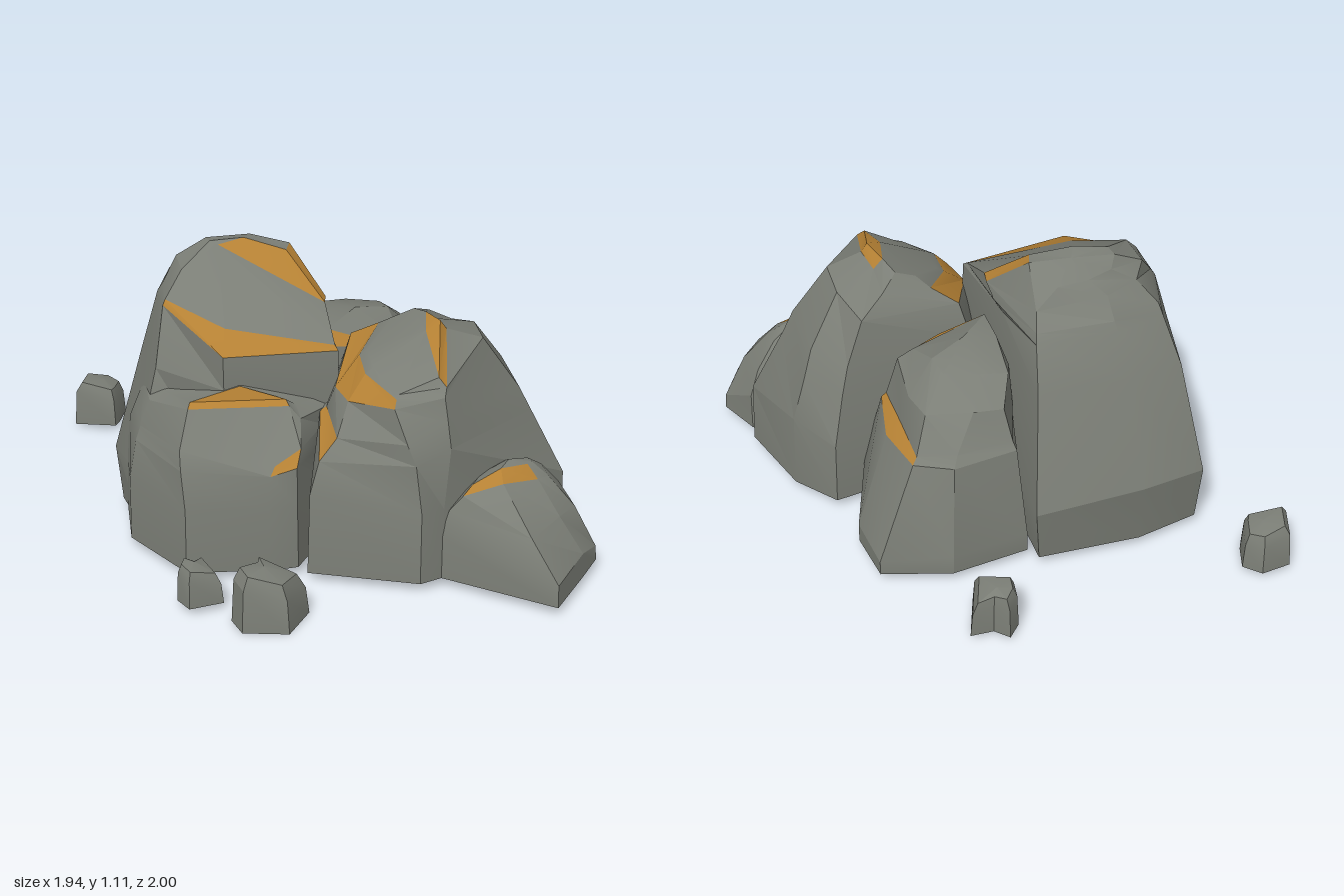
import * as THREE from 'three';
import { toCreasedNormals } from 'three/addons/utils/BufferGeometryUtils.js';

const stone = new THREE.MeshStandardMaterial({ color: 0x7b7e76 });
stone.name = 'grey stone';
const ochre = new THREE.MeshStandardMaterial({ color: 0xb58134 });
ochre.name = 'ochre edge';

const centre = (ring) => ring
  .reduce((s, p) => [s[0] + p[0], s[1] + p[1], s[2] + p[2]], [0, 0, 0])
  .map((v) => v / ring.length);

// Scales a ring about its centre and drops it to the given height.
function footprint(ring, scale, y) {
  const c = centre(ring);
  return ring.map((p) => [c[0] + (p[0] - c[0]) * scale, y, c[2] + (p[2] - c[2]) * scale]);
}

// Lofts rings (clockwise from above), closed by a flat base and a peak.
// edges lists [ring, segment] quads in ochre; ring = last one means a cap triangle.
function rock(name, rings, peak, edges = []) {
  const grey = [], gold = [];
  const last = rings.length - 1;
  const bottom = centre(rings[0]);
  const n = rings[0].length;
  const isEdge = (i, j) => edges.some((e) => e[0] === i && e[1] === j);
  for (let j = 0; j < n; j++) {
    const k = (j + 1) % n;
    grey.push(...bottom, ...rings[0][j], ...rings[0][k]);
    for (let i = 0; i < last; i++) {
      const a = rings[i][j], b = rings[i][k], c = rings[i + 1][k], d = rings[i + 1][j];
      (isEdge(i, j) ? gold : grey).push(...a, ...c, ...b, ...a, ...d, ...c);
    }
    (isEdge(last, j) ? gold : grey).push(...peak, ...rings[last][k], ...rings[last][j]);
  }
  let geo = new THREE.BufferGeometry();
  geo.setAttribute('position', new THREE.Float32BufferAttribute([...grey, ...gold], 3));
  geo.addGroup(0, grey.length / 3, 0);
  if (gold.length) geo.addGroup(grey.length / 3, gold.length / 3, 1);
  geo = toCreasedNormals(geo, 0.4);
  const mesh = new THREE.Mesh(geo, [stone, ochre]);
  mesh.name = name;
  return mesh;
}

// Tall boulder: back-left, back, back-right, right, front-right, front, front-left, left
const tall = [
  [[-.69, .28, -.58], [-.42, .3, -.65], [.01, .27, -.65], [.02, .3, -.2],
    [.02, .3, .3], [-.42, .3, .34], [-.76, .3, .2], [-.82, .28, -.05]],
  [[-.63, .7, -.44], [-.4, .72, -.5], [-.04, .72, -.49], [-.01, .7, -.15],
    [.02, .7, .32], [-.42, .7, .37], [-.66, .7, .14], [-.7, .68, -.1]],
  [[-.58, .88, -.35], [-.38, .88, -.41], [-.06, .88, -.4], [-.02, .84, -.1],
    [.02, .81, .31], [-.42, .83, .36], [-.62, .92, .05], [-.63, .91, -.12]],
  [[-.57, .92, -.32], [-.37, .92, -.39], [-.07, .91, -.37], [0, .87, -.05],
    [.01, .825, .29], [-.4, .89, .23], [-.61, .94, .04], [-.61, .94, -.12]],
  [[-.5, 1, -.26], [-.36, 1, -.33], [-.09, .96, -.3], [.01, .91, .02],
    [0, .91, .08], [-.39, 1.085, -.13], [-.54, 1.03, -.03], [-.55, 1.03, -.18]],
  [[-.4, 1.06, -.25], [-.3, 1.05, -.28], [-.18, 1.04, -.28], [-.11, 1.075, -.14],
    [-.13, 1.07, -.08], [-.29, 1.11, -.13], [-.42, 1.095, -.15], [-.43, 1.09, -.2]],
];

// Low front-left boulder: left, back, back-right, right, front-right, front, front-left, left-front
const low = [
  [[-.78, .3, .03], [-.4, .3, .1], [-.02, .3, .15], [-.04, .3, .36],
    [-.17, .3, .575], [-.28, .3, .59], [-.59, .3, .56], [-.78, .3, .27]],
  [[-.76, .45, .02], [-.4, .45, .1], [-.01, .45, .15], [-.04, .45, .35],
    [-.17, .46, .57], [-.27, .43, .57], [-.6, .45, .52], [-.75, .45, .24]],
  [[-.74, .5, .02], [-.4, .52, .1], [-.01, .52, .15], [-.04, .52, .34],
    [-.15, .52, .53], [-.25, .46, .545], [-.6, .52, .49], [-.73, .5, .22]],
  [[-.7, .6, .02], [-.4, .66, .1], [-.01, .62, .15], [-.02, .59, .32],
    [-.14, .6, .44], [-.18, .645, .42], [-.56, .655, .42], [-.69, .59, .19]],
  [[-.62, .65, .02], [-.4, .7, .1], [-.05, .65, .15], [-.04, .62, .3],
    [-.15, .63, .38], [-.19, .66, .39], [-.55, .67, .39], [-.64, .62, .17]],
];

// Back-right boulder: back-left, back, back-right, right, front-right, front, front-left, left
const back = [
  [[.02, .12, -.57], [.33, .12, -.62], [.6, .1, -.545], [.63, .12, -.33],
    [.52, .2, 0], [.25, .3, .04], [.03, .3, .05], [-.01, .25, -.3]],
  [[.05, .5, -.52], [.3, .48, -.54], [.44, .47, -.46], [.49, .47, -.25],
    [.45, .48, -.02], [.25, .5, .04], [.03, .5, .05], [0, .5, -.3]],
  [[.06, .53, -.5], [.28, .52, -.51], [.42, .49, -.44], [.43, .515, -.25],
    [.43, .495, -.02], [.25, .55, .04], [.03, .55, .05], [0, .55, -.3]],
  [[.08, .65, -.45], [.2, .66, -.45], [.37, .64, -.39], [.4, .64, -.26],
    [.38, .65, -.02], [.2, .69, .035], [0, .71, .05], [0, .7, -.25]],
  [[.03, .73, -.34], [.14, .74, -.33], [.27, .74, -.29], [.29, .755, -.2],
    [.32, .69, -.03], [.12, .73, .01], [.02, .765, .01], [.02, .77, -.15]],
];

// Central boulder: back-left, back-right, right, right-front, front-right, front, front-left, left
const main = [
  [[.04, .3, .06], [.65, .3, -.06], [.78, .35, .1], [.88, .3, .43],
    [.36, .33, .72], [.27, .33, .755], [-.13, .37, .62], [-.06, .4, .34]],
  [[.05, .55, .05], [.6, .5, 0], [.73, .53, .1], [.75, .56, .4],
    [.38, .58, .72], [.25, .52, .73], [-.09, .49, .585], [-.055, .585, .35]],
  [[.06, .63, .06], [.57, .62, .02], [.69, .66, .12], [.7, .66, .4],
    [.37, .68, .7], [.22, .6, .71], [-.02, .57, .56], [-.03, .6, .35]],
  [[.1, .78, .09], [.5, .8, .05], [.56, .85, .2], [.56, .86, .37],
    [.36, .77, .68], [.18, .72, .65], [.03, .69, .5], [0, .69, .37]],
  [[.2, .84, .14], [.4, .87, .11], [.4, .895, .25], [.42, .905, .37],
    [.37, .8, .655], [.19, .75, .63], [.1, .78, .46], [.1, .79, .31]],
  [[.25, .88, .18], [.33, .91, .18], [.36, .93, .26], [.395, .94, .37],
    [.345, .83, .63], [.2, .76, .61], [.13, .8, .45], [.13, .81, .31]],
];

// Corner boulder: back-left, back, right-back, right, front-right, front, front-left
const corner = [
  [[.4, .12, .55], [.65, .15, .4], [.88, .2, .5], [.96, .1, .67],
    [.88, .14, .79], [.74, .13, .99], [.35, .22, .72]],
  [[.45, .3, .55], [.65, .3, .45], [.84, .31, .52], [.87, .28, .67],
    [.79, .29, .76], [.66, .27, .88], [.38, .32, .715]],
  [[.48, .38, .6], [.65, .38, .5], [.76, .41, .56], [.77, .4, .64],
    [.72, .41, .68], [.58, .42, .72], [.43, .38, .72]],
  [[.52, .42, .62], [.62, .43, .55], [.7, .45, .58], [.71, .45, .61],
    [.69, .45, .63], [.58, .46, .67], [.47, .41, .69]],
];

// Pebbles: plan outline, foot height, top height
const pebbles = [
  [[[-.97, -.78], [-.93, -.92], [-.81, -.94], [-.75, -.88], [-.78, -.78], [-.8, -.74]], .02, .2],
  [[[.16, -.86], [.17, -.94], [.22, -1], [.27, -.95], [.36, -.95], [.3, -.77]], .02, .2],
  [[[-.64, .74], [-.62, .67], [-.57, .69], [-.53, .64], [-.47, .78], [-.6, .81]], .03, .18],
  [[[-.45, .86], [-.35, .78], [-.34, .725], [-.16, .84], [-.25, .98], [-.42, .95]], 0, .22],
];

export function createModel() {
  const group = new THREE.Group();
  group.name = 'rock cluster';
  const add = (name, rings, baseScale, peak, edges) =>
    group.add(rock(name, [footprint(rings[0], baseScale, .04), ...rings], peak, edges));

  add('tallBoulder', tall, .95, [-.26, 1.1, -.19], [[3, 4], [3, 5], [5, 3], [5, 4]]);
  add('lowBoulder', low, 1.01, [-.36, .715, .37], [[2, 4], [4, 5], [5, 5]]);
  add('backBoulder', back, 1, [.15, .785, -.14], [[2, 2], [2, 3], [4, 4], [4, 5]]);
  add('centralBoulder', main, 1.02, [.335, .915, .4],
    [[2, 6], [4, 5], [4, 6], [4, 7], [5, 2], [5, 3], [6, 2], [6, 3]]);
  add('cornerBoulder', corner, 1.02, [.62, .47, .62], [[3, 4], [3, 5]]);

  // Small loose stones with bevelled tops that slope gently to one side
  pebbles.forEach(([plan, foot, top], i) => {
    const base = plan.map(([x, z]) => [x, foot, z]);
    const h = top - foot;
    const cx = centre(base)[0];
    const slope = (ring) => ring.map(([x, y, z]) => [x, y - (x - cx) * .25, z]);
    const shoulder = slope(footprint(base, .92, foot + h * .68));
    const crown = slope(footprint(base, .72, foot + h * .92));
    const c = centre(crown);
    group.add(rock('pebble' + (i + 1), [base, shoulder, crown], [c[0], top, c[2]]));
  });
  return group;
}
